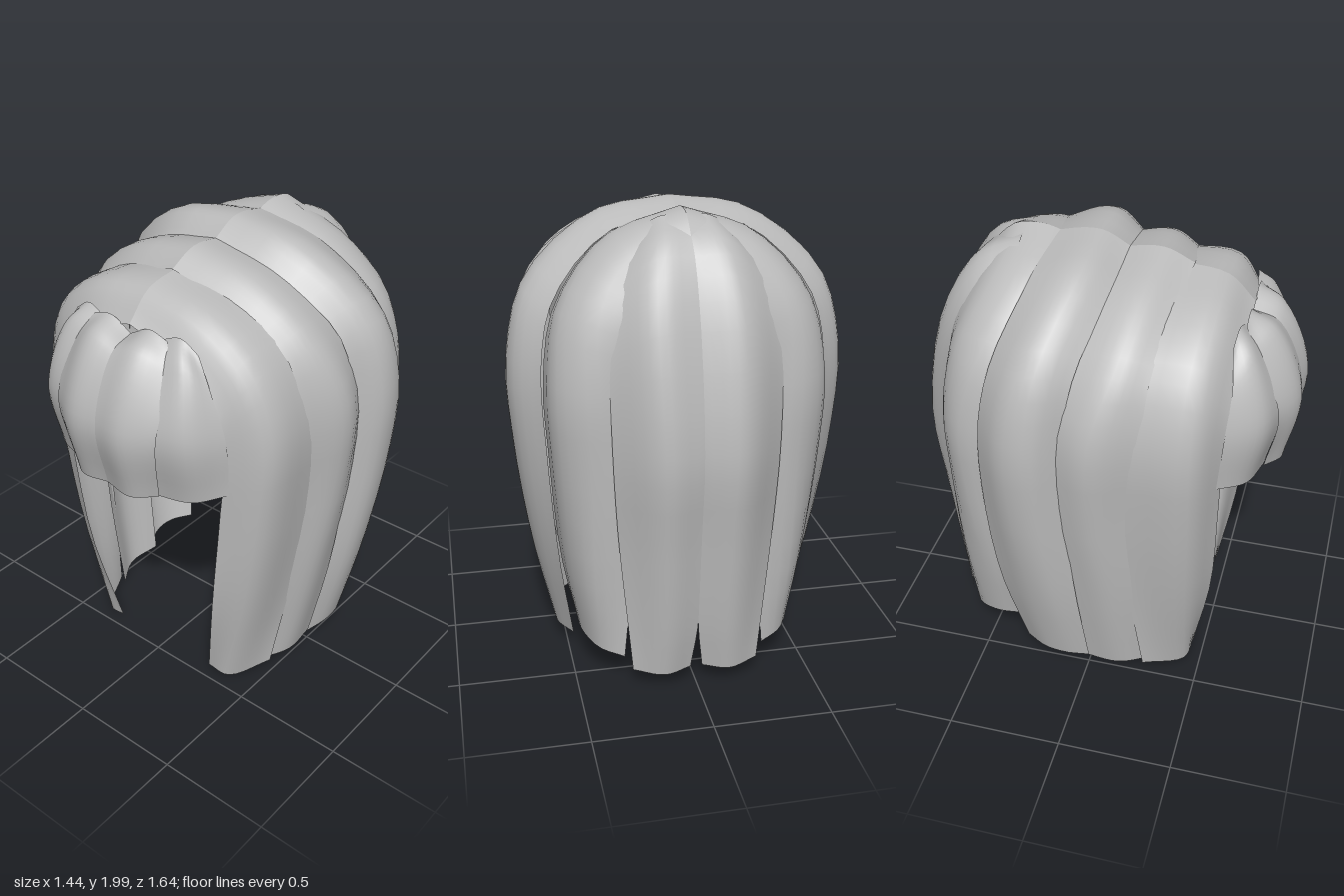
import * as THREE from 'three';

const hair = new THREE.MeshStandardMaterial({ color: 0xbcbcbc, side: THREE.DoubleSide });
hair.name = 'hair grey';

// Smooth sheet lofted through rows of points (rows run root to tip); side = -1 mirrors it
function lockGeometry(rows, side) {
  const across = 10, down = 20;
  const v = p => new THREE.Vector3(...p);
  const curve = points => new THREE.CatmullRomCurve3(points, false, 'centripetal');
  const columns = rows[0].map((_, c) => curve(rows.map(r => v(r[c]))));
  const position = [], index = [];
  for (let j = 0; j <= down; j++) {
    const section = curve(columns.map(c => c.getPoint(j / down)));
    for (let i = 0; i <= across; i++) {
      const p = section.getPoint(i / across);
      position.push(p.x * side, p.y, p.z);
      if (i === across || j === down) continue;
      const a = j * (across + 1) + i, b = a + 1, c = a + across + 1, d = c + 1;
      if (side > 0) index.push(a, c, b, b, c, d);
      else index.push(a, b, c, b, d, c);
    }
  }
  const g = new THREE.BufferGeometry();
  g.setAttribute('position', new THREE.Float32BufferAttribute(position, 3));
  g.setIndex(index);
  g.computeVertexNormals();
  return g;
}

// Left-hand locks, each row running from the front edge round to the back edge
const locks = {
  frontSideLock: [
    [[0, 1.75, 0.585], [0, 1.86, 0.47], [0, 1.89, 0.25]],
    [[0.25, 1.67, 0.585], [0.28, 1.81, 0.47], [0.29, 1.81, 0.23]],
    [[0.42, 1.5, 0.575], [0.5, 1.65, 0.46], [0.5, 1.67, 0.2]],
    [[0.45, 1.3, 0.56], [0.6, 1.38, 0.45], [0.61, 1.38, 0.18]],
    [[0.42, 1.0, 0.55], [0.58, 1.0, 0.45], [0.6, 1.0, 0.17]],
    [[0.36, 0.5, 0.53], [0.5, 0.5, 0.44], [0.54, 0.5, 0.2]],
    [[0.27, 0.02, 0.45], [0.37, 0.0, 0.43], [0.47, 0.02, 0.25]],
  ],
  middleSideLock: [
    [[0, 1.89, 0.33], [0, 1.945, 0.2], [0, 1.92, 0.0]],
    [[0.3, 1.8, 0.3], [0.31, 1.87, 0.18], [0.3, 1.84, -0.02]],
    [[0.52, 1.65, 0.27], [0.56, 1.69, 0.14], [0.52, 1.66, -0.07]],
    [[0.6, 1.4, 0.25], [0.685, 1.4, 0.06], [0.61, 1.4, -0.13]],
    [[0.585, 1.0, 0.22], [0.665, 1.0, 0.05], [0.62, 1.0, -0.13]],
    [[0.52, 0.5, 0.25], [0.59, 0.5, 0.1], [0.57, 0.5, -0.08]],
    [[0.43, 0.02, 0.27], [0.5, 0.03, 0.14], [0.49, 0.03, -0.03]],
  ],
  crownSideLock: [
    [[0, 1.925, 0.07], [0, 1.985, -0.04], [0, 1.99, -0.12], [0, 1.96, -0.26]],
    [[0.3, 1.85, 0.05], [0.32, 1.93, -0.05], [0.33, 1.93, -0.14], [0.3, 1.88, -0.28]],
    [[0.56, 1.65, -0.02], [0.62, 1.69, -0.13], [0.62, 1.68, -0.24], [0.53, 1.64, -0.37]],
    [[0.63, 1.38, -0.06], [0.712, 1.37, -0.17], [0.698, 1.37, -0.3], [0.59, 1.38, -0.42]],
    [[0.63, 1.0, -0.06], [0.7, 1.0, -0.17], [0.685, 1.0, -0.3], [0.58, 1.0, -0.43]],
    [[0.585, 0.5, -0.03], [0.635, 0.5, -0.13], [0.62, 0.5, -0.25], [0.54, 0.5, -0.39]],
    [[0.5, 0.04, 0], [0.54, 0.07, -0.1], [0.535, 0.08, -0.2], [0.48, 0.08, -0.3]],
  ],
  backSideLock: [
    [[0, 1.955, -0.2], [0, 1.985, -0.3], [0, 1.975, -0.42], [0, 1.88, -0.53]],
    [[0.3, 1.86, -0.22], [0.3, 1.88, -0.32], [0.28, 1.85, -0.46], [0.22, 1.75, -0.58]],
    [[0.52, 1.6, -0.3], [0.51, 1.64, -0.44], [0.43, 1.63, -0.56], [0.29, 1.58, -0.63]],
    [[0.58, 1.3, -0.36], [0.56, 1.33, -0.53], [0.45, 1.32, -0.63], [0.28, 1.3, -0.65]],
    [[0.57, 1.0, -0.36], [0.55, 1.0, -0.53], [0.44, 1.0, -0.63], [0.27, 1.0, -0.65]],
    [[0.53, 0.5, -0.35], [0.51, 0.5, -0.48], [0.43, 0.5, -0.6], [0.27, 0.5, -0.63]],
    [[0.47, 0.2, -0.34], [0.46, 0.18, -0.45], [0.4, 0.15, -0.56], [0.3, 0.13, -0.62]],
  ],
  backLock: [
    [[0.24, 1.87, -0.36], [0.1, 1.96, -0.37], [0, 1.96, -0.37]],
    [[0.32, 1.73, -0.52], [0.14, 1.88, -0.55], [0, 1.88, -0.54]],
    [[0.345, 1.5, -0.62], [0.17, 1.62, -0.71], [0, 1.62, -0.68]],
    [[0.345, 1.1, -0.66], [0.16, 1.1, -0.815], [0, 1.1, -0.785]],
    [[0.325, 0.7, -0.65], [0.15, 0.7, -0.78], [0, 0.7, -0.745]],
    [[0.29, 0.3, -0.65], [0.14, 0.3, -0.735], [0, 0.3, -0.7]],
    [[0.27, 0.08, -0.65], [0.14, 0.07, -0.7], [0.025, 0.08, -0.67]],
  ],
  // Short layer beneath the back locks
  underLayer: [
    [[0.3, 1.6, -0.44], [0.2, 1.72, -0.48], [0.1, 1.76, -0.5], [0, 1.76, -0.5]],
    [[0.42, 1.3, -0.46], [0.27, 1.3, -0.57], [0.13, 1.3, -0.62], [0, 1.3, -0.6]],
    [[0.4, 0.82, -0.46], [0.25, 0.82, -0.55], [0.12, 0.83, -0.61], [0, 0.82, -0.58]],
  ],
  centreFringe: [
    [[0, 1.71, 0.58], [0.1, 1.76, 0.58], [0.19, 1.74, 0.58]],
    [[0, 1.67, 0.69], [0.12, 1.7, 0.69], [0.25, 1.64, 0.64]],
    [[0, 1.4, 0.805], [0.13, 1.4, 0.815], [0.265, 1.4, 0.745]],
    [[0, 1.1, 0.755], [0.13, 1.09, 0.765], [0.23, 1.1, 0.7]],
  ],
  sideFringe: [
    [[0.15, 1.73, 0.57], [0.24, 1.76, 0.56], [0.32, 1.71, 0.55]],
    [[0.2, 1.65, 0.65], [0.31, 1.67, 0.63], [0.4, 1.57, 0.57]],
    [[0.22, 1.4, 0.75], [0.37, 1.4, 0.7], [0.46, 1.38, 0.56]],
    [[0.21, 1.1, 0.7], [0.36, 1.1, 0.65], [0.46, 1.12, 0.54]],
  ],
};

export function createModel() {
  const model = new THREE.Group();
  model.name = 'hairstyle';
  for (const [name, rows] of Object.entries(locks)) {
    const pair = new THREE.Group();
    pair.name = name;
    for (const side of [1, -1]) {
      const mesh = new THREE.Mesh(lockGeometry(rows, side), hair);
      mesh.name = name + (side > 0 ? 'Left' : 'Right');
      pair.add(mesh);
    }
    model.add(pair);
  }
  return model;
}
